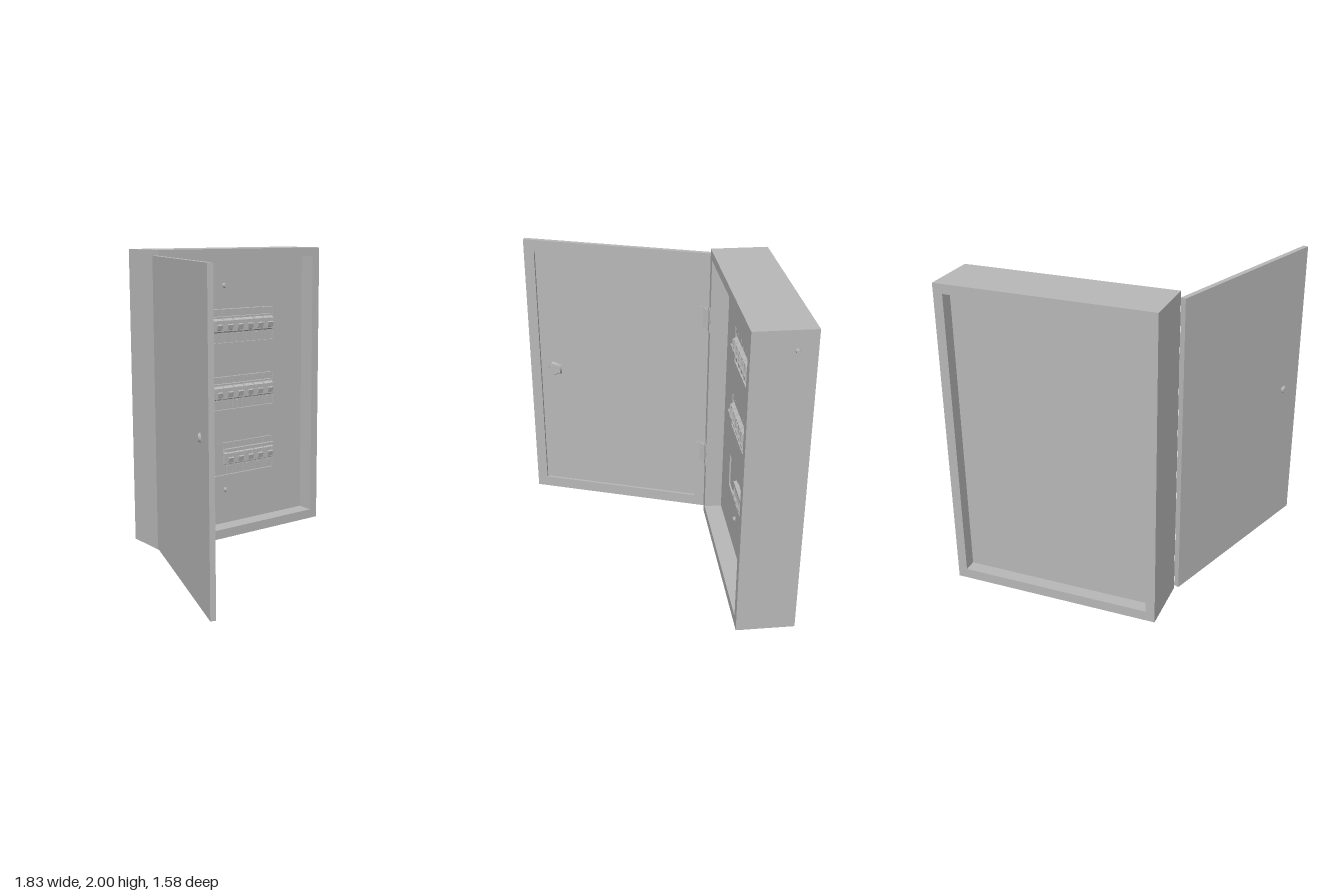
import * as THREE from 'three';

const grey = new THREE.MeshStandardMaterial({ color: 0xb8b8b8 });
grey.name = 'painted grey';

function add(parent, name, geometry, x = 0, y = 0, z = 0) {
  const mesh = new THREE.Mesh(geometry, grey);
  mesh.name = name;
  mesh.position.set(x, y, z);
  parent.add(mesh);
  return mesh;
}

// Box given by its minimum and maximum corners
function block(parent, name, x0, x1, y0, y1, z0, z1) {
  return add(parent, name, new THREE.BoxGeometry(x1 - x0, y1 - y0, z1 - z0),
    (x0 + x1) / 2, (y0 + y1) / 2, (z0 + z1) / 2);
}

function rectPoints([x0, x1, y0, y1]) {
  return [[x0, y0], [x1, y0], [x1, y1], [x0, y1]].map(p => new THREE.Vector2(...p));
}

// Flat plate with rectangular openings, extruded along z
function plate(outer, holes, depth) {
  const shape = new THREE.Shape(rectPoints(outer));
  for (const h of holes) shape.holes.push(new THREE.Path(rectPoints(h).reverse()));
  return new THREE.ExtrudeGeometry(shape, { depth, bevelEnabled: false });
}

// Side profile given as [z, y], extruded along x from 0 to width
function sideProfile(points, width) {
  const shape = new THREE.Shape(points.map(p => new THREE.Vector2(...p)));
  return new THREE.ExtrudeGeometry(shape, { depth: width, bevelEnabled: false })
    .rotateY(-Math.PI / 2).translate(width, 0, 0);
}

function makeCabinet() {
  const g = new THREE.Group();
  g.name = 'cabinet';
  const opening = [-0.395, 0.835, 0.065, 1.94];
  add(g, 'cabinetShell', plate([-0.455, 0.895, 0, 2], [opening], 0.37), 0, 0, -0.79);
  block(g, 'backPanel', -0.395, 0.835, 0.065, 1.94, -0.71, -0.7);

  // Inner cover with three breaker windows
  const rows = [1.355, 0.885, 0.415];
  const windows = rows.map(y => [-0.135, 0.57, y, y + 0.237]);
  add(g, 'innerCover', plate(opening, windows, 0.015), 0, 0, -0.555);

  rows.forEach((y, row) => {
    block(g, 'mountingRail', -0.15, 0.585, y - 0.015, y + 0.25, -0.63, -0.6);
    for (let i = row === 2 ? 3 : 0; i < 8; i++) g.add(makeBreaker(-0.133 + i * 0.088, y));
  });
  block(g, 'blankingPlate', -0.133, 0.13, rows[2] + 0.003, rows[2] + 0.234, -0.6, -0.55);
  block(g, 'busBar', 0.13, 0.568, 0.583, 0.605, -0.54, -0.517);

  // Cover fixings
  for (const y of [1.75, 0.31]) {
    const screw = add(g, 'coverScrew', new THREE.CylinderGeometry(0.012, 0.02, 0.02, 5), 0.14, y, -0.532);
    screw.rotation.x = Math.PI / 2;
  }
  const earth = add(g, 'sideScrew', new THREE.CylinderGeometry(0.01, 0.015, 0.022, 8), 0.902, 1.88, -0.675);
  earth.rotation.z = -Math.PI / 2;
  return g;
}

function makeBreaker(x, y) {
  const g = new THREE.Group();
  g.name = 'breaker';
  g.position.set(x, y, -0.54);
  // Body with a stepped face and a groove under the top terminal
  add(g, 'breakerBody', sideProfile([
    [-0.06, 0.004], [-0.012, 0.004], [-0.012, 0.07], [0.012, 0.08], [0.012, 0.155],
    [-0.012, 0.168], [-0.012, 0.18], [-0.025, 0.182], [-0.025, 0.19], [-0.004, 0.192],
    [-0.004, 0.232], [-0.06, 0.232],
  ], 0.081));
  // Toggle lever and lower terminal cover
  add(g, 'toggle', sideProfile([
    [0.01, 0.088], [0.026, 0.092], [0.034, 0.125], [0.026, 0.132], [0.01, 0.118],
  ], 0.044), 0.019);
  block(g, 'toggleGuard', 0.012, 0.018, 0.08, 0.155, 0.01, 0.02);
  block(g, 'toggleGuard', 0.064, 0.07, 0.08, 0.155, 0.01, 0.02);
  block(g, 'terminalCover', 0.026, 0.056, 0.01, 0.062, -0.014, -0.004);
  return g;
}

function makeDoor() {
  const g = new THREE.Group();
  g.name = 'door';
  const length = 1.287, thick = 0.033;
  // Local z runs from hinge to free edge, +x is the inner face
  block(g, 'doorSkin', 0, 0.016, 0.03, 1.965, 0, length);
  const rim = plate([-length, 0, 0.03, 1.965], [[-1.215, -0.08, 0.108, 1.885]], thick - 0.016);
  add(g, 'doorRim', rim.rotateY(Math.PI / 2), 0.016);

  // Lock: five-sided boss inside, small key cap outside
  const lock = add(g, 'lockBoss', new THREE.CylinderGeometry(0.045, 0.057, 0.018, 5), 0.024, 1.02, 1.11);
  lock.rotation.z = -Math.PI / 2;
  const cap = add(g, 'lockCap', new THREE.CylinderGeometry(0.02, 0.032, 0.014, 5), -0.006, 1.02, 1.11);
  cap.rotation.z = Math.PI / 2;

  // Door leaves of the hinges
  for (const y of [0.49, 1.52]) block(g, 'hingeLeaf', thick - 0.001, thick + 0.006, y - 0.075, y + 0.075, 0.01, 0.075);

  g.position.set(-0.49, 0, -0.44);
  g.rotation.y = Math.atan2(-0.425, 1.215);
  return g;
}

function makeHinge(y) {
  const g = new THREE.Group();
  g.name = 'hinge';
  block(g, 'cabinetLeaf', -0.46, -0.398, y - 0.08, y + 0.08, -0.421, -0.414);
  // Wedge-shaped knuckle in the corner between door and cabinet
  const wedge = new THREE.Shape([[-0.475, 0.375], [-0.466, 0.425], [-0.435, 0.42]].map(p => new THREE.Vector2(...p)));
  const knuckle = new THREE.ExtrudeGeometry(wedge, { depth: 0.13, bevelEnabled: false });
  add(g, 'hingeKnuckle', knuckle.rotateX(-Math.PI / 2), 0, y - 0.065, 0);
  return g;
}

export function createModel() {
  const model = new THREE.Group();
  model.name = 'electricalCabinet';
  model.add(makeCabinet(), makeDoor(), makeHinge(0.49), makeHinge(1.52));
  return model;
}
